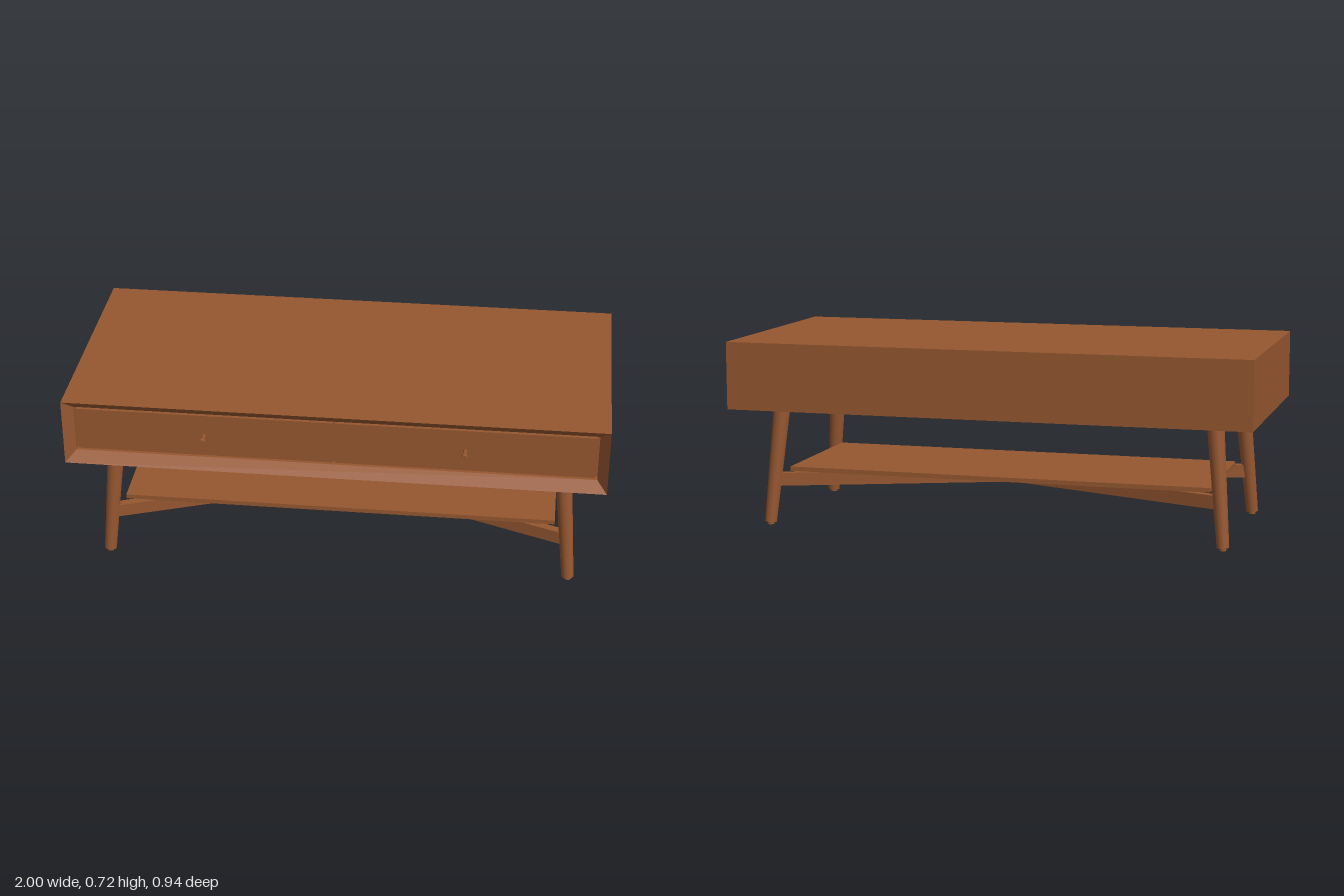
import * as THREE from 'three';

const wood = new THREE.MeshStandardMaterial({ color: 0x965730 });
wood.name = 'walnut';

const MID_Z = -0.0075; // depth centre of the case and legs

function add(parent, name, geometry, x = 0, y = 0, z = 0) {
  const mesh = new THREE.Mesh(geometry, wood);
  mesh.name = name;
  mesh.position.set(x, y, z);
  parent.add(mesh);
  return mesh;
}

// Skin over rectangular rings [halfWidth, bottom, top, z], capped at both ends
function ringSkin(rings) {
  const corners = rings.map(([w, b, t, z]) => [[-w, b, z], [w, b, z], [w, t, z], [-w, t, z]]);
  const pos = [];
  const quad = (a, b, c, d) => pos.push(...a, ...b, ...c, ...a, ...c, ...d);
  for (let i = 0; i < corners.length - 1; i++) {
    const p = corners[i], q = corners[i + 1];
    for (let k = 0; k < 4; k++) {
      const n = (k + 1) % 4;
      quad(p[k], p[n], q[n], q[k]);
    }
  }
  const first = corners[0], last = corners[corners.length - 1];
  quad(first[3], first[2], first[1], first[0]);
  quad(last[0], last[1], last[2], last[3]);
  const g = new THREE.BufferGeometry();
  g.setAttribute('position', new THREE.Float32BufferAttribute(pos, 3));
  g.computeVertexNormals();
  return g;
}

// Round bar between two points
function addLeg(parent, top, bottom) {
  const dir = top.clone().sub(bottom);
  const leg = add(parent, 'leg', new THREE.CylinderGeometry(0.032, 0.023, dir.length(), 32));
  leg.position.copy(top).add(bottom).multiplyScalar(0.5);
  leg.quaternion.setFromUnitVectors(new THREE.Vector3(0, 1, 0), dir.normalize());
}

export function createModel() {
  const table = new THREE.Group();
  table.name = 'coffeeTable';

  // Case with a mitred bevel running in to the drawer recess
  add(table, 'case', ringSkin([
    [1, 0.46, 0.717, -0.472],
    [1, 0.46, 0.717, 0.457],
    [0.963, 0.497, 0.68, 0.419],
    [0.963, 0.497, 0.68, 0.395],
  ]));

  // Drawer fronts and flared knobs
  const knobProfile = [[0, 0], [0.007, 0], [0.007, 0.022], [0.012, 0.036], [0.012, 0.053], [0, 0.053]]
    .map(([r, h]) => new THREE.Vector2(r, h));
  for (const s of [-1, 1]) {
    const drawer = new THREE.Group();
    drawer.name = s > 0 ? 'leftDrawer' : 'rightDrawer';
    add(drawer, 'drawerFront', new THREE.BoxGeometry(0.951, 0.167, 0.024), s * 0.479, 0.5885, 0.407);
    const knob = add(drawer, 'knob', new THREE.LatheGeometry(knobProfile, 20).toNonIndexed(), s * 0.48, 0.588, 0.419);
    knob.geometry.computeVertexNormals();
    knob.rotation.x = Math.PI / 2;
    table.add(drawer);
  }

  // Splayed, tapered legs with small glides
  for (const sx of [-1, 1]) {
    for (const sz of [-1, 1]) {
      addLeg(table,
        new THREE.Vector3(sx * 0.84, 0.465, MID_Z + sz * 0.307),
        new THREE.Vector3(sx * 0.881, 0.01, MID_Z + sz * 0.345));
      add(table, 'glide', new THREE.CylinderGeometry(0.013, 0.013, 0.014, 20),
        sx * 0.881, 0.007, MID_Z + sz * 0.345);
    }
  }

  // Crossed stretchers joining opposite legs
  const dx = 0.865, dz = 0.331;
  for (const s of [-1, 1]) {
    const beam = add(table, 'stretcher',
      new THREE.BoxGeometry(2 * Math.hypot(dx, dz), 0.05, 0.032), 0, 0.175, MID_Z);
    beam.rotation.y = s * Math.atan2(dz, dx);
  }

  // Lower shelf resting on the stretchers
  add(table, 'shelf', new THREE.BoxGeometry(1.642, 0.017, 0.57), 0, 0.2085, MID_Z);

  return table;
}
